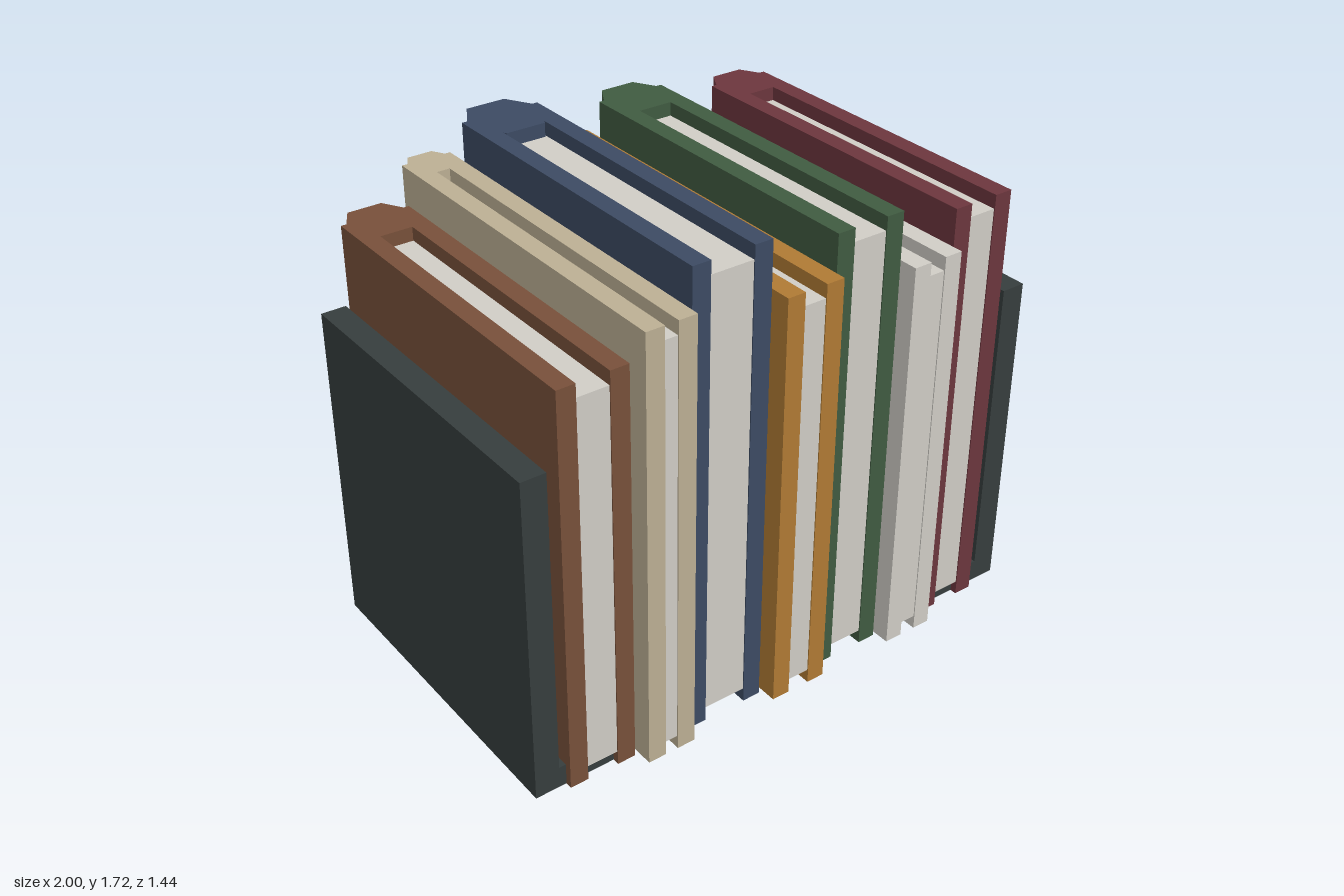
import * as THREE from 'three';

const makeMaterial = (name, color) => {
  const m = new THREE.MeshStandardMaterial({ color });
  m.name = name;
  return m;
};

// Box given by its min and max corners
function block(name, material, [x0, y0, z0], [x1, y1, z1]) {
  const mesh = new THREE.Mesh(new THREE.BoxGeometry(x1 - x0, y1 - y0, z1 - z0), material);
  mesh.name = name;
  mesh.position.set((x0 + x1) / 2, (y0 + y1) / 2, (z0 + z1) / 2);
  return mesh;
}

const BOARD = 0.067; // cover board thickness
const INSET = 0.05;  // pages sit this far inside top and bottom

// Two cover boards, a six-sided spine at the back and a page block between
function makeBook(name, cover, paper, x, halfWidth, height, front, back) {
  const book = new THREE.Group();
  book.name = name;
  const pageHalf = halfWidth - BOARD;
  const spineZ = back + 0.034;

  for (const [side, s] of [['left', 1], ['right', -1]]) {
    const a = s * pageHalf, b = s * halfWidth;
    book.add(block(side + 'Cover', cover,
      [Math.min(a, b), 0, back], [Math.max(a, b), height, front]));
  }

  const spineGeo = new THREE.CylinderGeometry(halfWidth, halfWidth, height, 6, 1, false, Math.PI / 6)
    .toNonIndexed();
  spineGeo.computeVertexNormals();
  const spine = new THREE.Mesh(spineGeo, cover);
  spine.name = 'spine';
  spine.position.set(0, height / 2, spineZ);
  book.add(spine);

  book.add(block('pages', paper,
    [-pageHalf, INSET, spineZ], [pageHalf, height - INSET, front - 0.004]));
  book.position.x = x;
  return book;
}

export function createModel() {
  const model = new THREE.Group();
  model.name = 'bookRow';

  const paper = makeMaterial('paper', 0xd0cdc6);
  const slate = makeMaterial('slate', 0x363d3d);
  const brown = makeMaterial('brown', 0x78503a);
  const beige = makeMaterial('beige', 0xbcaf94);
  const blue = makeMaterial('blue', 0x3c4a63);
  const ochre = makeMaterial('ochre', 0xb07a34);
  const green = makeMaterial('green', 0x405b41);
  const burgundy = makeMaterial('burgundy', 0x6c363d);

  // name, cover, centre x, half width, height, front z, back z
  const books = [
    ['brownBook', brown, -0.76, 0.125, 1.48, 0.66, -0.605],
    ['beigeBook', beige, -0.527, 0.091, 1.6, 0.715, -0.662],
    ['blueBook', blue, -0.268, 0.147, 1.72, 0.66, -0.605],
    ['ochreBook', ochre, 0.006, 0.109, 1.54, 0.715, -0.662],
    ['greenBook', green, 0.264, 0.132, 1.66, 0.66, -0.605],
    ['paleBook', paper, 0.508, 0.098, 1.48, 0.715, -0.662],
    ['burgundyBook', burgundy, 0.745, 0.12, 1.6, 0.66, -0.605],
  ];
  for (const [name, cover, x, halfWidth, height, front, back] of books) {
    model.add(makeBook(name, cover, paper, x, halfWidth, height, front, back));
  }

  // L-shaped bookends with a foot reaching under the outer books
  for (const [side, s] of [['left', 1], ['right', -1]]) {
    const bookend = new THREE.Group();
    bookend.name = side + 'Bookend';
    const span = (inner, outer) => [Math.min(s * inner, s * outer), Math.max(s * inner, s * outer)];
    const [u0, u1] = span(0.91, 1);
    const [f0, f1] = span(0.65, 0.91);
    bookend.add(block('upright', slate, [u0, 0, -0.578], [u1, 1.205, 0.635]));
    bookend.add(block('foot', slate, [f0, 0, -0.578], [f1, 0.08, 0.635]));
    model.add(bookend);
  }
  return model;
}
